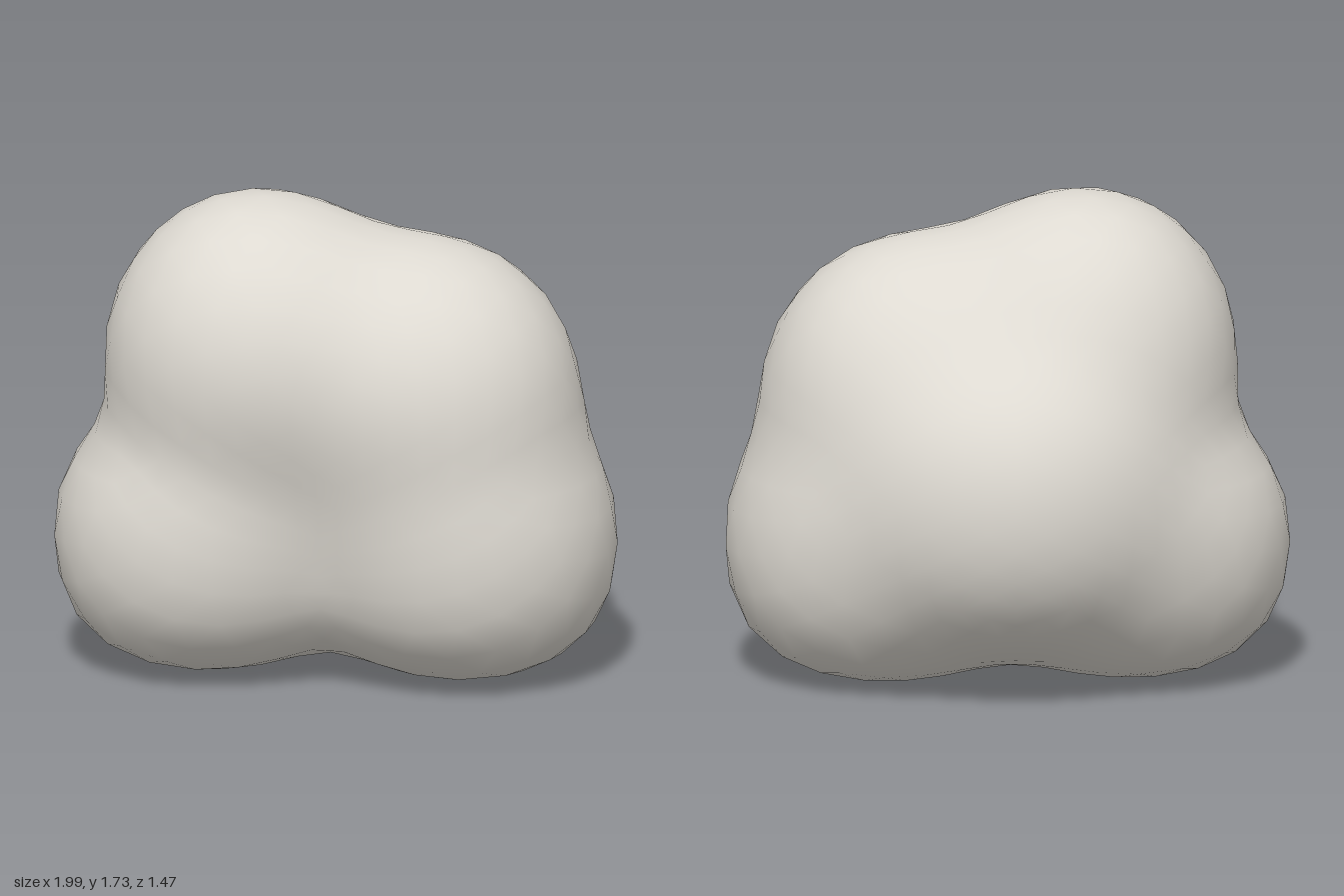
import * as THREE from 'three';
import { mergeVertices } from 'three/addons/utils/BufferGeometryUtils.js';

// Rounded lobes that melt together: centre, radii and how boxy they are in height (2 = ellipsoid)
const lobes = [
  { c: [-0.465, 0.465, 0.13], r: [0.53, 0.455, 0.55], e: 2.35 }, // lower right
  { c: [0.465, 0.46, 0.13], r: [0.53, 0.455, 0.55], e: 2.35 },   // lower left
  { c: [-0.27, 1.17, 0.17], r: [0.535, 0.56, 0.555], e: 2 },     // upper right
  { c: [0.33, 1.03, 0.15], r: [0.53, 0.535, 0.54], e: 2 },       // upper left
  { c: [0, 0.72, -0.2], r: [0.575, 0.53, 0.53], e: 2.15 },       // back
];
const BLEND = 0.105;

// Smooth union of the lobes, negative inside
function field(p) {
  let sum = 0;
  for (const { c, r, e } of lobes) {
    const across = Math.hypot((p.x - c[0]) / r[0], (p.z - c[2]) / r[2]);
    const up = Math.abs((p.y - c[1]) / r[1]);
    const q = (across ** e + up ** e) ** (1 / e);
    sum += Math.exp(-((q - 1) * (r[0] + r[1] + r[2])) / 3 / BLEND);
  }
  return -BLEND * Math.log(sum);
}

// Push each vertex of a unit sphere out to the blended surface
function blobGeometry() {
  let geo = new THREE.IcosahedronGeometry(1, 7);
  geo.deleteAttribute('uv');
  geo.deleteAttribute('normal');
  geo = mergeVertices(geo, 1e-4);
  const pos = geo.attributes.position;
  const centre = new THREE.Vector3(0, 0.75, 0.08);
  const dir = new THREE.Vector3();
  const p = new THREE.Vector3();
  for (let i = 0; i < pos.count; i++) {
    dir.fromBufferAttribute(pos, i).normalize();
    let near = 0, far = 1.8;
    for (let n = 0; n < 24; n++) {
      const mid = (near + far) / 2;
      p.copy(centre).addScaledVector(dir, mid);
      if (field(p) < 0) near = mid; else far = mid;
    }
    pos.setXYZ(i, p.x, p.y, p.z);
  }
  geo.computeVertexNormals();
  return geo;
}

export function createModel() {
  const group = new THREE.Group();
  group.name = 'lumpyStone';
  const stone = new THREE.MeshStandardMaterial({ color: 0xdedad2 });
  stone.name = 'warm grey';
  const body = new THREE.Mesh(blobGeometry(), stone);
  body.name = 'body';
  group.add(body);
  return group;
}
